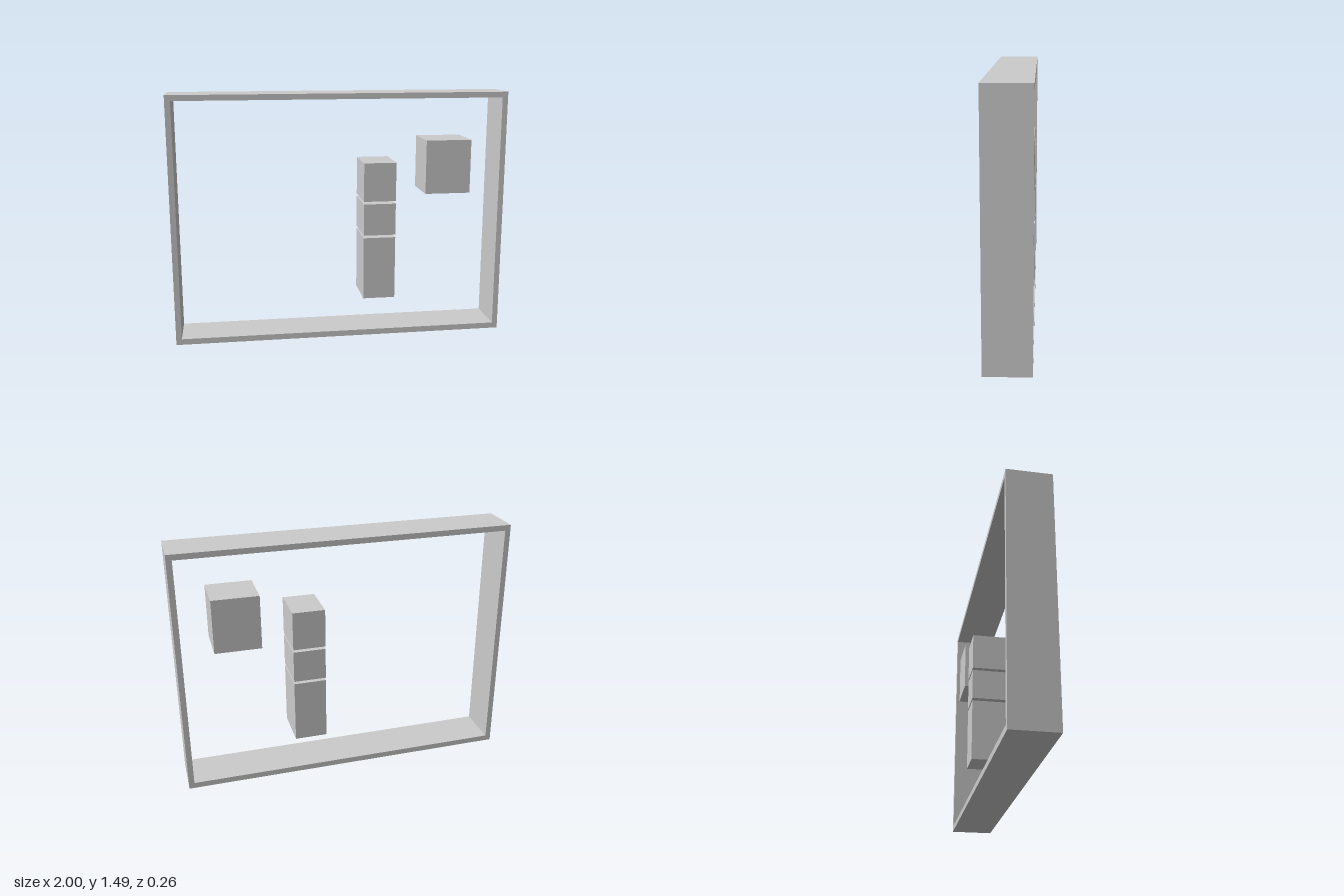
import * as THREE from 'three';

const DEPTH = 0.26;

export function createModel() {
  const model = new THREE.Group();
  const material = new THREE.MeshStandardMaterial({ color: 0xcccccc, flatShading: true });

  const add = (name, geometry) => {
    const mesh = new THREE.Mesh(geometry, material);
    mesh.name = name;
    model.add(mesh);
  };

  // Block given by its left, right, bottom and top edges
  const block = (name, x0, x1, y0, y1) =>
    add(name, new THREE.BoxGeometry(x1 - x0, y1 - y0, DEPTH).translate((x0 + x1) / 2, (y0 + y1) / 2, 0));

  const rectangle = (path, x0, x1, y0, y1) =>
    path.moveTo(x0, y0).lineTo(x1, y0).lineTo(x1, y1).lineTo(x0, y1).closePath();

  // Open rectangular frame
  const outline = rectangle(new THREE.Shape(), -1, 1, 0, 1.485);
  outline.holes.push(rectangle(new THREE.Path(), -0.967, 0.967, 0.035, 1.452));
  add('frame', new THREE.ExtrudeGeometry(outline, { depth: DEPTH, bevelEnabled: false }).translate(0, 0, -DEPTH / 2));

  // Column of three blocks separated by narrow gaps
  block('lowerBlock', 0.136, 0.33, 0.238, 0.619);
  block('middleBlock', 0.136, 0.33, 0.635, 0.827);
  block('upperBlock', 0.136, 0.33, 0.843, 1.075);

  // Larger block beside the column
  block('sideBlock', 0.511, 0.785, 0.881, 1.203);

  return model;
}
